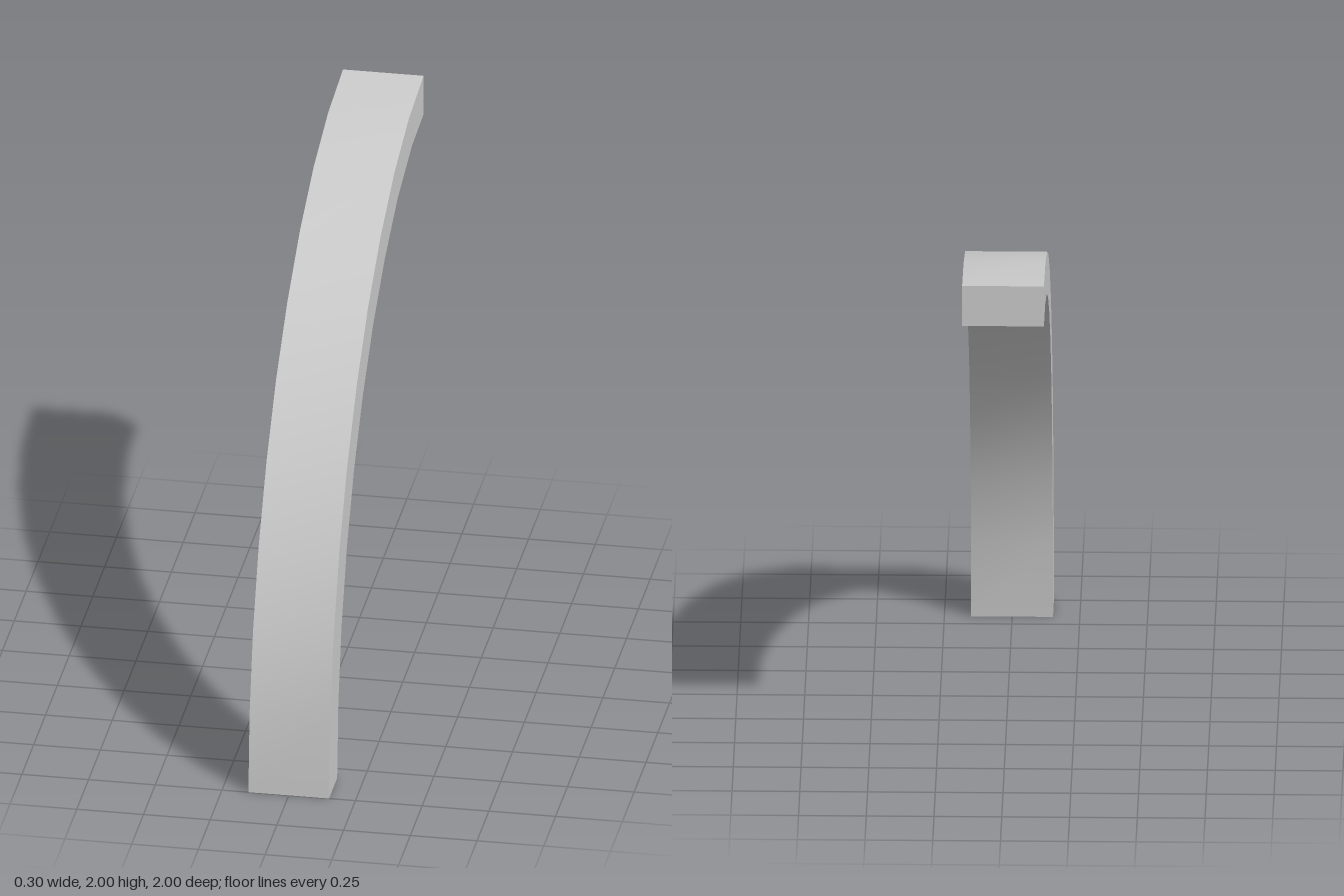
import * as THREE from 'three';
import { toCreasedNormals } from 'three/addons/utils/BufferGeometryUtils.js';

const WIDTH = 0.302;
const STEPS = 10;

export function createModel() {
  const group = new THREE.Group();
  group.name = 'quarterArch';

  // Outer edge: a faceted quarter circle of radius 2, as (z, y) points
  const outer = [];
  for (let i = 0; i <= STEPS; i++) {
    const a = (i / STEPS) * Math.PI / 2;
    outer.push(new THREE.Vector2(-1 + 2 * Math.cos(a), 2 * Math.sin(a)));
  }

  // Inner edge: slightly uneven, from the foot to the top end
  const inner = [
    [0.827, 0], [0.803, 0.297], [0.735, 0.578], [0.623, 0.848], [0.472, 1.094], [0.285, 1.31],
    [0.06, 1.5], [-0.185, 1.65], [-0.455, 1.764], [-0.757, 1.832], [-1, 1.842],
  ].map(([z, y]) => new THREE.Vector2(z, y));

  // Extrude the side profile across the width, smooth along the curve and sharp at the edges
  const profile = new THREE.Shape([...outer, ...inner.reverse()]);
  const geometry = new THREE.ExtrudeGeometry(profile, { depth: WIDTH, bevelEnabled: false });
  geometry.translate(0, 0, -WIDTH / 2);
  geometry.rotateY(-Math.PI / 2);

  const beam = new THREE.Mesh(
    toCreasedNormals(geometry, Math.PI / 6),
    new THREE.MeshStandardMaterial({ color: 0xcccccc })
  );
  beam.name = 'curvedBeam';
  group.add(beam);
  return group;
}
